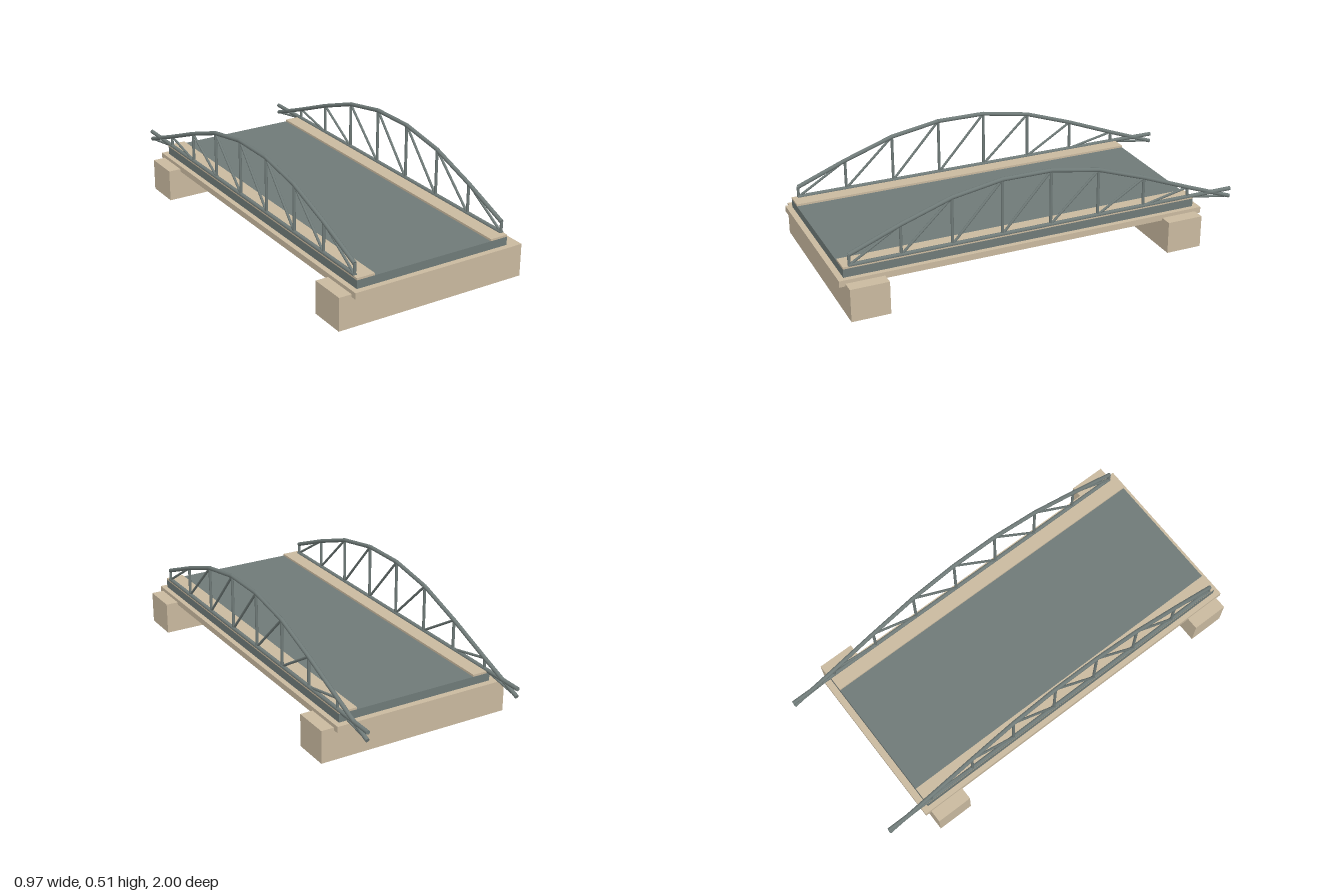
import * as THREE from 'three';

export function createModel() {
  const bridge = new THREE.Group();
  bridge.name = 'trussBridge';
  const concrete = new THREE.MeshStandardMaterial({ color: 0xc9b99f });
  concrete.name = 'concrete';
  const steel = new THREE.MeshStandardMaterial({ color: 0x6f7a78 });
  steel.name = 'steel';

  // Box given by its limits on each axis
  function slab(name, material, [x0, x1], [y0, y1], [z0, z1]) {
    const mesh = new THREE.Mesh(new THREE.BoxGeometry(x1 - x0, y1 - y0, z1 - z0), material);
    mesh.position.set((x0 + x1) / 2, (y0 + y1) / 2, (z0 + z1) / 2);
    mesh.name = name;
    bridge.add(mesh);
  }

  // Round bar between two [z, y] points in the plane of a truss
  const up = new THREE.Vector3(0, 1, 0);
  function bar(parent, name, a, b, radius) {
    const start = new THREE.Vector3(0, a[1], a[0]);
    const end = new THREE.Vector3(0, b[1], b[0]);
    const along = end.clone().sub(start);
    const mesh = new THREE.Mesh(new THREE.CylinderGeometry(radius, radius, along.length(), 12), steel);
    mesh.position.copy(start).add(end).multiplyScalar(0.5);
    mesh.quaternion.setFromUnitVectors(up, along.normalize());
    mesh.name = name;
    parent.add(mesh);
  }

  // Supports, base slab and roadway
  slab('frontAbutment', concrete, [-0.483, 0.483], [0, 0.158], [0.79, 0.972]);
  slab('backAbutment', concrete, [-0.483, 0.483], [0, 0.158], [-0.785, -0.605]);
  slab('baseSlab', concrete, [-0.421, 0.421], [0.145, 0.175], [-0.816, 1]);
  slab('roadDeck', steel, [-0.396, 0.396], [0.175, 0.215], [-0.785, 0.972]);
  slab('leftCurb', concrete, [0.306, 0.396], [0.215, 0.225], [-0.785, 0.972]);
  slab('rightCurb', concrete, [-0.396, -0.306], [0.215, 0.225], [-0.785, 0.972]);

  // Upper chord nodes as [z, y], running front to back
  const chordY = 0.226;
  const nodes = [
    [0.94, 0.277], [0.7, 0.372], [0.457, 0.455], [0.213, 0.497], [-0.029, 0.497],
    [-0.272, 0.455], [-0.514, 0.372], [-0.757, 0.277], [-0.997, 0.187],
  ];
  const last = nodes.length - 1;

  for (const side of [1, -1]) {
    const truss = new THREE.Group();
    truss.name = side > 0 ? 'leftTruss' : 'rightTruss';
    truss.position.x = side * 0.387;
    bar(truss, 'lowerChord', [0.945, chordY], [-1, chordY], 0.01);
    nodes.forEach((node, i) => {
      if (i === last) return;
      const foot = [node[0], chordY];
      bar(truss, 'upperChord', node, nodes[i + 1], 0.01);
      bar(truss, 'verticalPost', foot, node, 0.007);
      bar(truss, 'diagonalBrace', foot, nodes[i + 1], 0.006);
      // Round joint closing the bend between chord pieces
      if (i > 0) {
        const joint = new THREE.Mesh(new THREE.SphereGeometry(0.01, 12, 8), steel);
        joint.position.set(0, node[1], node[0]);
        joint.name = 'chordJoint';
        truss.add(joint);
      }
    });
    bridge.add(truss);
  }
  return bridge;
}
